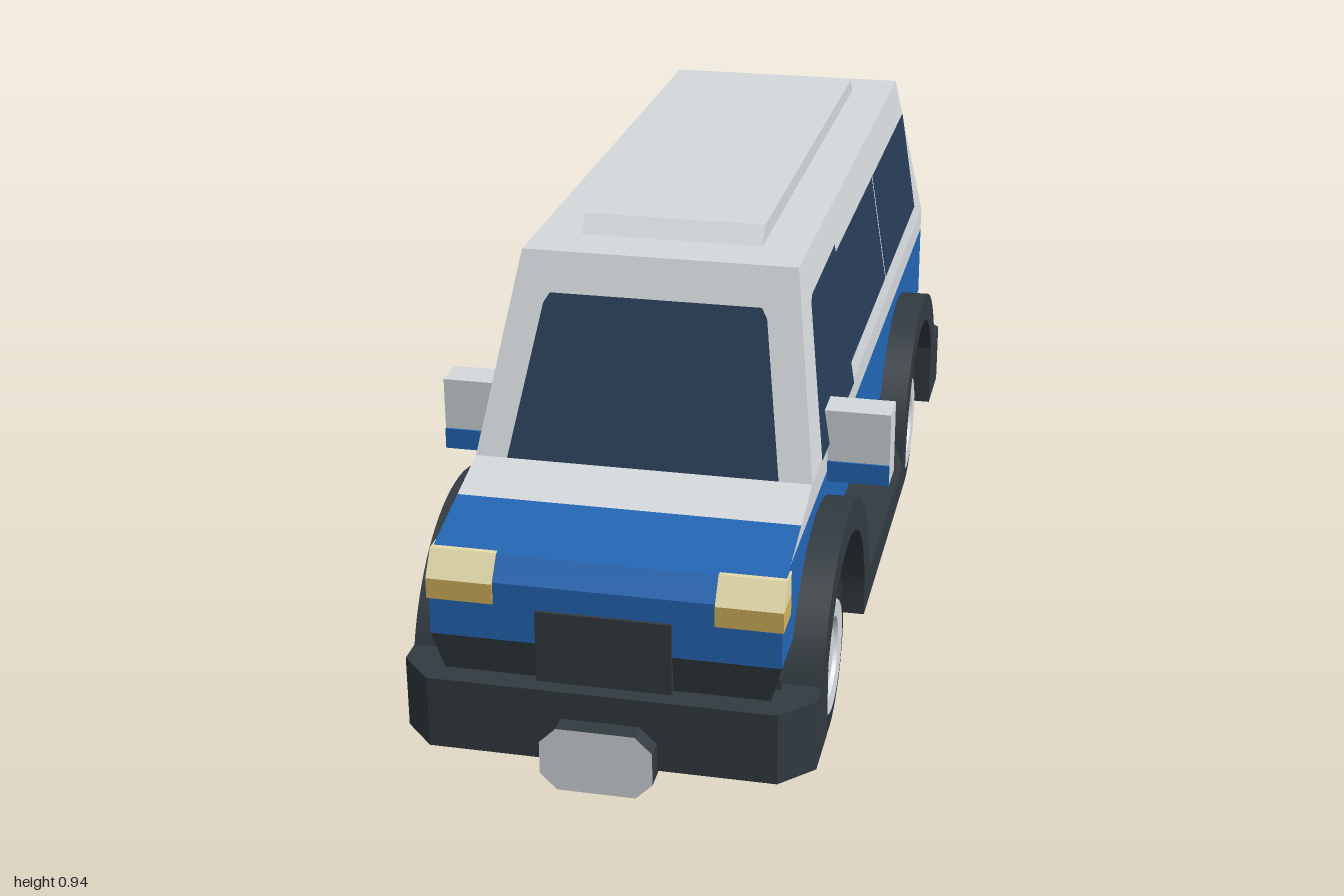
import * as THREE from 'three';
import { toCreasedNormals } from 'three/addons/utils/BufferGeometryUtils.js';

const mat = (name, color, side = THREE.FrontSide) => {
  const m = new THREE.MeshStandardMaterial({ color, side });
  m.name = name;
  return m;
};

export function createModel() {
  const white = mat('white paint', 0xd6dadd);
  const blue = mat('blue paint', 0x2367b6);
  const dark = mat('dark trim', 0x323b41);
  const tyreMat = mat('tyre rubber', 0x2a3238);
  const glass = mat('window glass', 0x273c56, THREE.DoubleSide);
  const cream = mat('cream lamp', 0xe6dcac);
  const amber = mat('amber lamp', 0xd6b45c);
  const red = mat('red lamp', 0xa82626);

  const model = new THREE.Group();
  model.name = 'van';
  const add = (name, geometry, material) => {
    const m = new THREE.Mesh(geometry, material);
    m.name = name;
    model.add(m);
    return m;
  };

  // Six-sided block between two level rectangles [x0, x1, zBack, zFront];
  // the front face may have its own material
  const block = (name, y0, lo, y1, hi, material, frontMaterial = material) => {
    const ring = (y, [x0, x1, zb, zf]) => [[x0, y, zb], [x1, y, zb], [x1, y, zf], [x0, y, zf]];
    const c = [...ring(y0, lo), ...ring(y1, hi)];
    const faces = [[3, 2, 6, 7], [2, 1, 5, 6], [1, 0, 4, 5], [0, 3, 7, 4], [7, 6, 5, 4], [0, 1, 2, 3]];
    const pos = faces.flatMap(([p, q, r, s]) => [p, q, r, p, r, s].flatMap(i => c[i]));
    const g = new THREE.BufferGeometry();
    g.setAttribute('position', new THREE.Float32BufferAttribute(pos, 3));
    g.computeVertexNormals();
    g.addGroup(0, 6, 0);
    g.addGroup(6, 30, 1);
    return add(name, g, [frontMaterial, material]);
  };
  const box = (name, x0, x1, y0, y1, zb, zf, material) =>
    block(name, y0, [x0, x1, zb, zf], y1, [x0, x1, zb, zf], material);

  // Body shell, stacked in colour bands: [y, half width, back z, front z]
  const levels = [
    [0.28, 0.29, -0.92, 0.92], [0.35, 0.31, -0.96, 0.93], [0.46, 0.31, -0.96, 0.93],
    [0.5, 0.31, -0.96, 0.9], [0.51, 0.31, -0.96, 0.857], [0.534, 0.31, -0.96, 0.753],
    [0.56, 0.31, -0.96, 0.64], [0.91, 0.255, -0.82, 0.49],
  ];
  const bands = [['lowerBody', dark], ['bodySide', blue], ['nose', blue], ['hoodEdge', blue],
    ['hood', white, blue], ['cowl', white], ['cabin', white]];
  bands.forEach(([name, m, front], i) => {
    const [y0, h0, b0, f0] = levels[i], [y1, h1, b1, f1] = levels[i + 1];
    block(name, y0, [-h0, h0, b0, f0], y1, [-h1, h1, b1, f1], m, front);
  });
  block('roofPanel', 0.91, [-0.17, 0.17, -0.715, 0.39], 0.942, [-0.17, 0.17, -0.685, 0.36], white);

  // Windows: flat outlines laid on the sloping cabin walls
  const pane = (name, pts, place) => {
    const g = new THREE.ShapeGeometry(new THREE.Shape(pts.map(p => new THREE.Vector2(...p))));
    const p = g.attributes.position;
    for (let i = 0; i < p.count; i++) p.setXYZ(i, ...place(p.getX(i), p.getY(i)));
    g.computeVertexNormals();
    add(name, g, glass);
  };
  const t = y => (y - 0.56) / 0.35;
  pane('windscreen', [[-0.25, 0.562], [0.25, 0.562], [0.206, 0.825], [0.195, 0.842], [-0.195, 0.842], [-0.206, 0.825]],
    (x, y) => [x, y, 0.645 - 0.15 * t(y)]);
  pane('rearWindow', [[-0.24, 0.61], [0.24, 0.61], [0.245, 0.63], [0.212, 0.82], [0.2, 0.838], [-0.2, 0.838], [-0.212, 0.82], [-0.245, 0.63]],
    (x, y) => [x, y, -0.965 + 0.14 * t(y)]);
  for (const s of [1, -1]) {
    const onSide = (z, y) => [s * (0.314 - 0.055 * t(y)), y, z];
    pane('frontSideWindow', [[0.55, 0.565], [0.165, 0.562], [0.165, 0.845], [0.435, 0.84], [0.45, 0.825]], onSide);
    pane('middleSideWindow', [[0.165, 0.605], [-0.327, 0.605], [-0.327, 0.83], [0.165, 0.83]], onSide);
    pane('rearSideWindow', [[-0.335, 0.605], [-0.835, 0.605], [-0.835, 0.83], [-0.335, 0.83]], onSide);
  }

  // Lamps, mirrors and grille
  for (const s of [1, -1]) {
    const span = (a, b) => (s > 0 ? [a, b] : [-b, -a]);
    const hx = span(0.195, 0.313), mx = span(0.3, 0.425);
    box('lowerHeadlight', ...hx, 0.42, 0.458, 0.863, 0.934, amber);
    block('upperHeadlight', 0.458, [...hx, 0.863, 0.934], 0.502, [...hx, 0.863, 0.902], cream);
    box('tailLight', ...span(0.16, 0.309), 0.42, 0.48, -0.965, -0.95, red);
    box('mirror', ...mx, 0.49, 0.63, 0.4, 0.468, white);
    box('mirrorStripe', ...mx, 0.49, 0.53, 0.462, 0.472, blue);
  }
  box('grille', -0.12, 0.12, 0.28, 0.415, 0.9, 0.936, dark);

  // Floor and sills
  box('floor', -0.3, 0.3, 0.146, 0.3, -0.85, 0.88, dark);
  box('sillBase', -0.368, 0.368, 0.145, 0.21, -0.295, 0.335, dark);
  block('sillSlope', 0.21, [-0.368, 0.368, -0.295, 0.335], 0.35, [-0.31, 0.31, -0.295, 0.335], dark);

  // Bumpers with cut corners, each carrying a registration plate
  const poly = pts => new THREE.Shape(pts.map(p => new THREE.Vector2(...p)));
  const plateShape = poly([[-0.07, 0.107], [0.07, 0.107], [0.1, 0.137], [0.1, 0.198], [0.07, 0.228],
    [-0.07, 0.228], [-0.1, 0.198], [-0.1, 0.137]]);
  for (const [end, inner] of [[1, 0.79], [-1, 0.75]]) {
    const shape = poly([[-0.368, inner], [0.368, inner], [0.368, 0.905], [0.31, 0.965], [-0.31, 0.965], [-0.368, 0.905]]);
    const g = new THREE.ExtrudeGeometry(shape, { depth: 0.135, bevelEnabled: false });
    g.rotateX(Math.PI / 2).translate(0, 0.28, 0);
    const p = new THREE.ExtrudeGeometry(plateShape, { depth: 0.04, bevelEnabled: false }).translate(0, 0, 0.96);
    const turn = end > 0 ? 0 : Math.PI;
    add(end > 0 ? 'frontBumper' : 'rearBumper', g, dark).rotation.y = turn;
    add('plate', p, [white, dark]).rotation.y = turn;
  }

  // Wheel arches and wheels
  const arch = new THREE.Shape();
  arch.moveTo(0.3, -0.035);
  arch.lineTo(0.3, 0);
  arch.absarc(0, 0, 0.3, 0, Math.PI, false);
  arch.lineTo(-0.3, -0.035);
  arch.lineTo(-0.24, -0.035);
  arch.lineTo(-0.24, 0);
  arch.absarc(0, 0, 0.24, Math.PI, 0, true);
  arch.lineTo(0.24, -0.035);
  const archGeo = toCreasedNormals(
    new THREE.ExtrudeGeometry(arch, { depth: 0.07, bevelEnabled: false, curveSegments: 20 }), 0.6)
    .rotateY(Math.PI / 2).translate(-0.035, 0, 0);
  const wellGeo = new THREE.CircleGeometry(0.245, 24, 0, Math.PI);
  const lathe = pts => toCreasedNormals(
    new THREE.LatheGeometry(pts.map(p => new THREE.Vector2(...p)), 32), 0.4);
  const tyreGeo = lathe([[0, -0.1], [0.15, -0.1], [0.18, -0.04], [0.18, 0.04], [0.152, 0.1], [0.11, 0.1]]);
  const rimGeo = lathe([[0.112, 0.098], [0.106, 0.105], [0.076, 0.102], [0.066, 0.08], [0.058, 0.08], [0.052, 0.097], [0, 0.097]]);
  for (const z of [0.575, -0.535]) {
    for (const s of [1, -1]) {
      add('wheelArch', archGeo, dark).position.set(s * 0.333, 0.18, z);
      const well = add('wheelWell', wellGeo, dark);
      well.position.set(s * 0.313, 0.18, z);
      well.rotation.y = s * Math.PI / 2;
      for (const [name, g, m] of [['tyre', tyreGeo, tyreMat], ['wheelRim', rimGeo, white]]) {
        const w = add(name, g, m);
        w.position.set(s * 0.24, 0.18, z);
        w.rotation.z = -s * Math.PI / 2;
      }
    }
  }
  return model;
}
